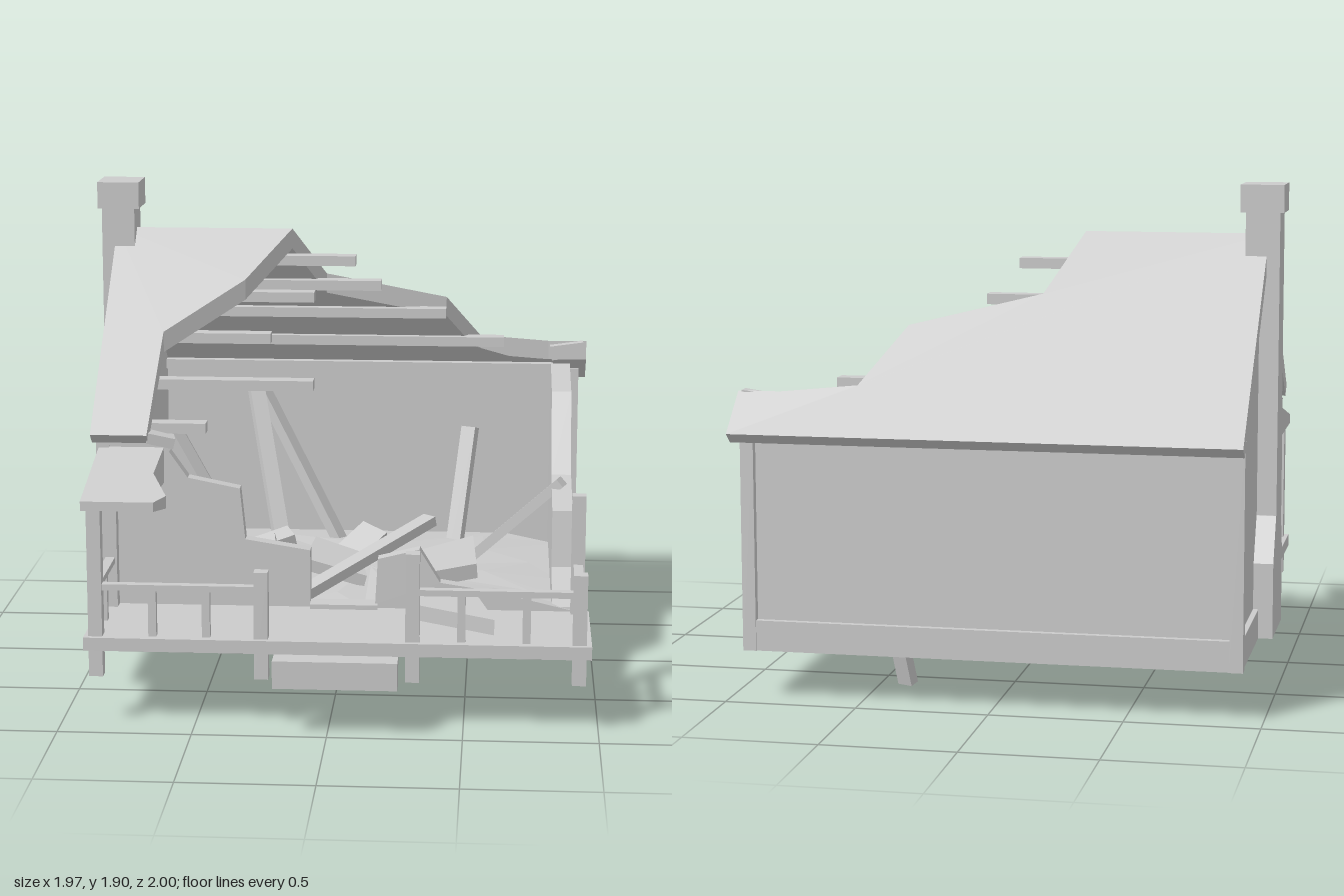
import * as THREE from 'three';

const mat = new THREE.MeshStandardMaterial({ color: 0xcccccc, flatShading: true, side: THREE.DoubleSide });

export function createModel() {
  const root = new THREE.Group();

  const add = (name, geo) => {
    const m = new THREE.Mesh(geo, mat);
    m.name = name;
    root.add(m);
    return m;
  };
  // Box given by its extents on each axis
  const box = (name, x0, x1, y0, y1, z0, z1) => {
    const m = add(name, new THREE.BoxGeometry(x1 - x0, y1 - y0, z1 - z0));
    m.position.set((x0 + x1) / 2, (y0 + y1) / 2, (z0 + z1) / 2);
    return m;
  };
  // Plank running from a to b
  const plank = (name, a, b, w = 0.065, h = 0.04) => {
    const p = new THREE.Vector3(...a), q = new THREE.Vector3(...b);
    const m = add(name, new THREE.BoxGeometry(w, h, p.distanceTo(q)));
    m.position.copy(p).lerp(q, 0.5);
    m.lookAt(q);
    return m;
  };
  const vecs = pts => pts.map(p => new THREE.Vector2(...p));
  const extrude = (pts, depth) => new THREE.ExtrudeGeometry(new THREE.Shape(vecs(pts)), { depth, bevelEnabled: false });
  // Wall outlined in x,y
  const wallXY = (name, pts, z0, z1) => add(name, extrude(pts, z1 - z0).translate(0, 0, z0));
  // Wall outlined in z,y
  const wallZY = (name, pts, x0, x1) =>
    add(name, extrude(pts.map(([z, y]) => [-z, y]), x1 - x0).rotateY(Math.PI / 2).translate(x0, 0, 0));
  // Slab outlined in x,z
  const slabGeo = (pts, h) => extrude(pts.map(([x, z]) => [x, -z]), h).rotateX(-Math.PI / 2);

  // Foundation ring
  const ring = new THREE.Shape(vecs([[-0.92, -0.51], [0.945, -0.51], [0.945, 0.925], [-0.92, 0.925]]));
  ring.holes.push(new THREE.Path(vecs([[-0.83, -0.41], [-0.83, 0.86], [0.86, 0.86], [0.86, -0.41]])));
  add('foundation', new THREE.ExtrudeGeometry(ring, { depth: 0.115, bevelEnabled: false }).rotateX(-Math.PI / 2).translate(0, 0.188, 0));

  // Rubble covering the floor: rectangular rim, jagged shoulder, slightly raised centre
  const N = 20, pos = [], idx = [];
  const cx = 0.1, cz = -0.15;
  for (let r = 0; r < 3; r++) {
    for (let i = 0; i < N; i++) {
      const a = (i / N) * Math.PI * 2, c = Math.cos(a), s = Math.sin(a);
      const tx = (c > 0 ? 0.86 - cx : cx + 0.83) / Math.max(Math.abs(c), 1e-6);
      const tz = (s > 0 ? 0.43 - cz : cz + 0.88) / Math.max(Math.abs(s), 1e-6);
      const d = Math.min(tx, tz) * [1, i % 2 ? 0.85 : 0.6, 0][r];
      pos.push(cx + c * d, [0.3, i % 2 ? 0.31 : 0.33, 0.34][r], cz + s * d);
    }
  }
  for (let r = 0; r < 2; r++) for (let i = 0; i < N; i++) {
    const a = r * N + i, b = r * N + (i + 1) % N;
    idx.push(a + N, b, a);
    if (r === 0) idx.push(a + N, b + N, b);
  }
  const heap = new THREE.BufferGeometry();
  heap.setAttribute('position', new THREE.Float32BufferAttribute(pos, 3));
  heap.setIndex(idx);
  heap.computeVertexNormals();
  add('rubbleFloor', heap);

  // Walls
  box('backWall', -0.9, 0.91, 0.3, 1.04, -0.9, -0.86);
  box('wallPlate', -0.88, 0.84, 1.02, 1.06, -0.88, -0.82);
  wallZY('leftGableWall', [[-0.9, 0.3], [0.45, 0.3], [0.45, 1.06], [-0.2, 1.64], [-0.9, 1.03]], -0.9, -0.82);
  wallZY('brokenRightWall', [[-0.9, 0.3], [0.46, 0.3], [0.45, 0.36], [0.17, 0.44], [0.14, 0.66],
    [-0.22, 0.72], [-0.44, 1.02], [-0.78, 1.07], [-0.86, 1.05], [-0.9, 1.03]], 0.83, 0.91);
  wallXY('brokenFrontWall', [[-0.9, 0.3], [0.9, 0.3], [0.9, 0.35], [0.6, 0.42], [0.4, 0.45], [0.32, 0.58],
    [0.16, 0.54], [0.15, 0.36], [-0.1, 0.36], [-0.1, 0.57], [-0.35, 0.61], [-0.37, 0.81], [-0.57, 0.85],
    [-0.64, 0.95], [-0.7, 1.0], [-0.9, 1.0]], 0.405, 0.46);
  box('doorSill', -0.1, 0.16, 0.3, 0.363, 0.41, 0.49);
  for (const x of [-0.925, 0.9]) box('backCornerPost', x, x + 0.05, 0.188, 1.03, -0.93, -0.88);
  box('frontCornerPost', -0.92, -0.87, 0.19, 1.0, 0.42, 0.47);

  // Roof: plan outlines folded down from the ridge, with the eaves cut square to the slope
  const roof = (name, pts) => {
    const g = slabGeo(pts, 1), p = g.attributes.position;
    for (let i = 0; i < p.count; i++) {
      const bottom = p.getY(i) < 0.5;
      let dz = p.getZ(i) + 0.2;
      if (bottom && Math.abs(dz) > 0.74) dz *= 0.94;
      p.setZ(i, dz - 0.2);
      p.setY(i, 1.72 - Math.abs(dz) * 0.88 - (bottom ? 0.08 : 0));
    }
    g.computeVertexNormals();
    add(name, g);
  };
  roof('backRoof', [[-0.925, -0.2], [-0.22, -0.2], [-0.1, -0.45], [0.39, -0.58], [0.53, -0.81], [0.82, -0.84],
    [0.98, -0.84], [0.98, -1], [-0.925, -1]]);
  roof('frontRoof', [[-0.925, -0.2], [-0.925, 0.575], [-0.71, 0.575], [-0.69, 0.2], [-0.39, 0], [-0.22, -0.2]]);
  plank('eaveFragment', [0.83, 1.11, -0.82], [0.97, 1.13, -0.82], 0.05, 0.06);
  plank('eaveFragment', [-0.72, 1.02, 0.5], [-0.62, 0.995, 0.48], 0.09, 0.04);

  // Purlins: z, y of centre and broken end x
  for (const [z, y, x] of [[0.42, 1.04, -0.5], [0.27, 1.18, -0.1], [0.09, 1.33, -0.28], [-0.06, 1.47, -0.12],
    [-0.2, 1.595, 0.035], [-0.36, 1.47, 0.13], [-0.52, 1.33, 0.39], [-0.7, 1.18, 0.63]])
    box('purlin', -0.88, x, y - 0.02, y + 0.02, z - 0.033, z + 0.033);

  // Chimney with sloped shoulders
  wallZY('chimneyBase', [[-0.38, 0.19], [-0.05, 0.19], [-0.05, 0.48], [-0.12, 0.65], [-0.295, 0.65], [-0.38, 0.48]], -0.975, -0.87);
  box('chimneyShaft', -0.975, -0.845, 0.6, 1.82, -0.29, -0.125);
  box('chimneyCap', -0.99, -0.825, 1.805, 1.91, -0.3, -0.115);

  // Porch deck, step and posts
  box('porchDeck', -0.91, 0.97, 0.295, 0.345, 0.45, 0.915);
  box('porchStep', -0.2, 0.26, 0.19, 0.295, 0.915, 1.0);
  for (const [x, z, y] of [[-0.867, 0.87, 0.84], [-0.867, 0.485, 0.84], [-0.25, 0.87, 0.6], [0.31, 0.87, 0.68],
    [0.925, 0.87, 0.61], [0.925, 0.475, 0.81]])
    box('porchPost', x - 0.026, x + 0.026, 0.19, y, z - 0.026, z + 0.026);

  // Railings
  box('frontRail', -0.87, -0.25, 0.52, 0.543, 0.85, 0.885);
  box('frontRail', 0.31, 0.925, 0.52, 0.543, 0.85, 0.885);
  for (const x of [-0.655, -0.455, 0.49, 0.73]) box('baluster', x - 0.015, x + 0.015, 0.34, 0.525, 0.855, 0.885);
  for (const x of [-0.867, 0.925]) {
    box('sideRail', x - 0.018, x + 0.018, 0.52, 0.543, 0.475, 0.87);
    box('baluster', x - 0.015, x + 0.015, 0.34, 0.525, 0.665, 0.695);
  }

  // Remaining piece of porch roof, sloped on top with a torn end
  const pr = slabGeo([[-0.91, 0.45], [-0.91, 0.915], [-0.64, 0.915], [-0.6, 0.86], [-0.67, 0.68], [-0.66, 0.45]], 1);
  const pp = pr.attributes.position;
  for (let i = 0; i < pp.count; i++)
    pp.setY(i, pp.getY(i) < 0.5 ? 0.83 : 0.865 + (0.915 - pp.getZ(i)) * 0.225);
  pr.computeVertexNormals();
  add('porchRoof', pr);

  // Fallen planks
  plank('fallenPlank', [-0.17, 0.35, 0.38], [0.34, 0.53, -0.19]);
  plank('fallenPlank', [0.395, 0.012, -0.615], [0.49, 0.78, -0.82]);
  plank('fallenPlank', [0.3, 0.17, -0.26], [0.87, 0.72, -0.1]);
  plank('fallenPlank', [-0.42, 0.97, -0.82], [-0.04, 0.27, -0.66]);
  plank('fallenPlank', [-0.43, 0.95, -0.79], [-0.27, 0.25, -0.42]);
  plank('fallenPlank', [-0.65, 0.98, 0.165], [-0.27, 0.25, 0.09], 0.05);

  // Broken slabs and rubble
  const slab = (pts, y, h, rx, rz) => {
    const c = pts.reduce((s, p) => [s[0] + p[0] / pts.length, s[1] + p[1] / pts.length], [0, 0]);
    const m = add('brokenSlab', slabGeo(pts.map(p => [p[0] - c[0], p[1] - c[1]]), h));
    m.position.set(c[0], y, c[1]);
    m.rotation.set(rx, 0, rz);
  };
  slab([[0.16, -0.02], [0.23, 0.22], [0.54, 0.1], [0.52, -0.27]], 0.36, 0.06, 0.05, 0.08);
  slab([[-0.14, -0.17], [-0.17, 0.08], [0.09, 0.1], [0.05, -0.13]], 0.37, 0.05, 0.12, -0.25);
  slab([[0.28, 0.5], [0.28, 0.65], [0.61, 0.8], [0.54, 0.51]], 0.36, 0.06, 0.03, -0.03);
  slab([[-0.55, -0.1], [-0.5, 0.1], [-0.25, 0.05], [-0.28, -0.15]], 0.38, 0.05, 0.3, 0.2);
  for (const [x, y, z, s, r] of [[-0.3, 0.4, -0.3, 0.1, 0.4], [0.05, 0.36, -0.4, 0.13, 0.9]]) {
    const m = add('rubble', new THREE.BoxGeometry(s * 1.4, s * 0.5, s));
    m.position.set(x, y, z);
    m.rotation.set(r * 0.4, r, 0.2);
  }
  return root;
}
